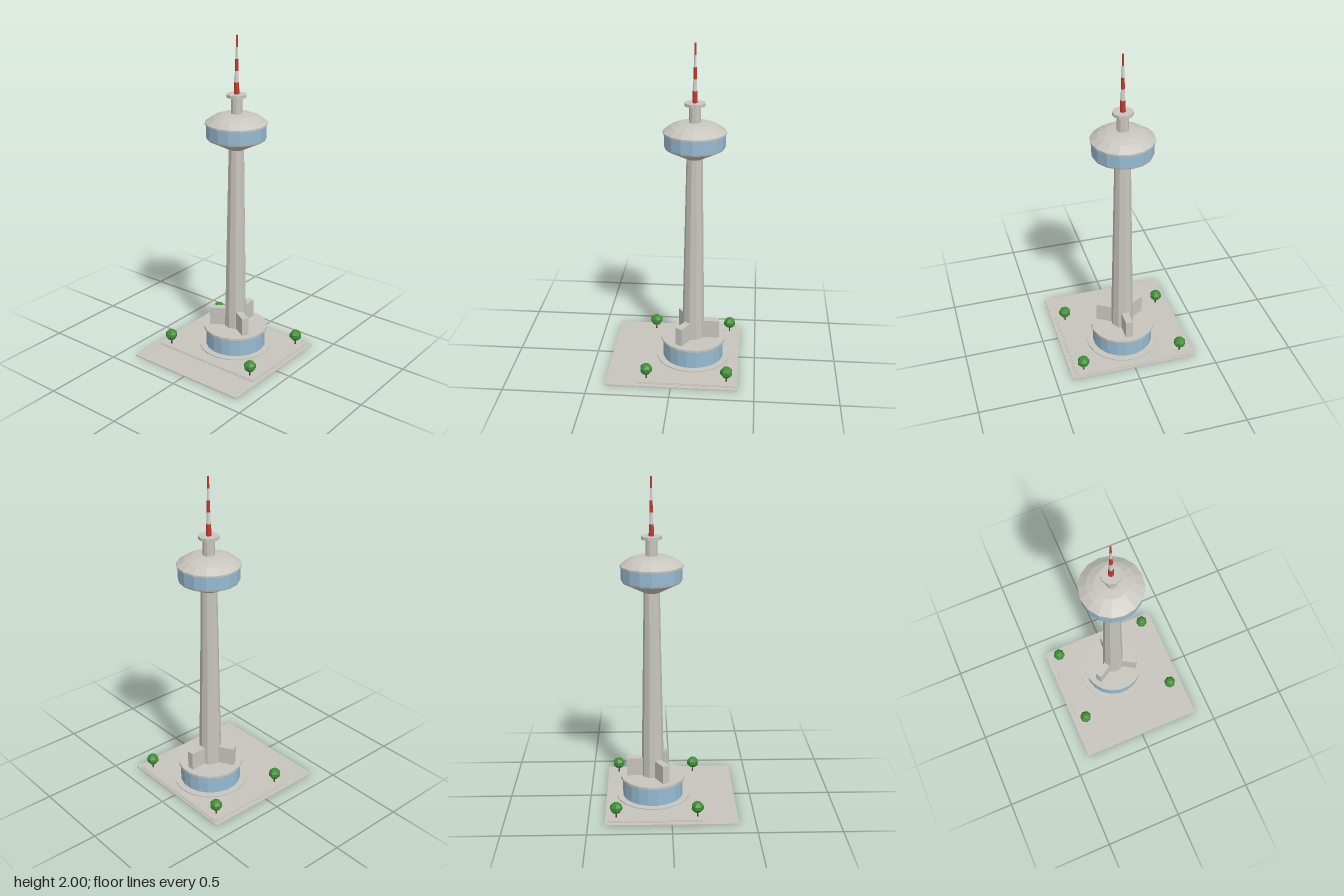
import * as THREE from 'three';

const paint = (name, color) => {
  const m = new THREE.MeshStandardMaterial({ color, flatShading: true });
  m.name = name;
  return m;
};

export function createModel() {
  const paving = paint('paving', 0xc6c4bc);
  const concrete = paint('concrete', 0xc8c5be);
  const glass = paint('glass', 0x97bbd2);
  const red = paint('mast red', 0xc43a2e);
  const pale = paint('mast white', 0xd6d5d2);
  const leaf = paint('foliage', 0x3f8f36);
  const bark = paint('bark', 0x5a4028);

  const model = new THREE.Group();
  model.name = 'observationTower';

  const add = (parent, name, geometry, material, x = 0, y = 0, z = 0) => {
    const mesh = new THREE.Mesh(geometry, material);
    mesh.name = name;
    mesh.position.set(x, y, z);
    parent.add(mesh);
    return mesh;
  };
  const slab = (name, w, d, y0, y1, z) =>
    add(model, name, new THREE.BoxGeometry(w, y1 - y0, d), paving, 0, (y0 + y1) / 2, z);

  // Ground and the stepped plaza
  slab('ground', 0.8, 0.8, 0, 0.006, 0);
  slab('plazaStep', 0.746, 0.592, 0.006, 0.009, -0.094);
  slab('plazaTop', 0.73, 0.574, 0.009, 0.012, -0.094);

  const tower = new THREE.Group();
  tower.name = 'tower';
  tower.position.z = -0.11;
  model.add(tower);

  // Tapered drum from y0 to y1; "turn" offsets the facets
  const drum = (name, material, y0, y1, r0, r1, sides, turn = 0) => {
    const mesh = add(tower, name, new THREE.CylinderGeometry(r1, r0, y1 - y0, sides), material, 0, (y0 + y1) / 2);
    mesh.rotation.y = turn;
    return mesh;
  };

  // Round podium
  const half = Math.PI / 20;
  drum('plinth', concrete, 0.01, 0.018, 0.23, 0.23, 20, half);
  drum('podiumGlass', glass, 0.018, 0.132, 0.189, 0.189, 20, half);
  drum('podiumRoof', concrete, 0.132, 0.146, 0.201, 0.201, 20, half);

  // Three buttress fins, one pointing to the back
  for (let i = 0; i < 3; i++) {
    const arm = new THREE.Group();
    arm.name = 'buttress';
    arm.rotation.y = Math.PI + (i * Math.PI * 2) / 3;
    add(arm, 'buttressFin', new THREE.BoxGeometry(0.044, 0.115, 0.13), concrete, 0, 0.2035, 0.097);
    tower.add(arm);
  }

  // Shaft
  drum('shaft', concrete, 0.146, 1.33, 0.07, 0.048, 10);

  // Observation pod
  const lathe = (name, points) =>
    add(tower, name, new THREE.LatheGeometry(points.map(([r, y]) => new THREE.Vector2(r, y)), 16), concrete);
  lathe('podUnderside', [[0, 1.322], [0.05, 1.322], [0.12, 1.358], [0.176, 1.386], [0.18, 1.397], [0, 1.397]]);
  drum('podGlass', glass, 1.397, 1.476, 0.181, 0.181, 16);
  lathe('podRoof', [[0, 1.476], [0.188, 1.476], [0.188, 1.486], [0.142, 1.518], [0.098, 1.535], [0.05, 1.541], [0, 1.541]]);

  // Neck and crown platform
  drum('neck', concrete, 1.54, 1.638, 0.035, 0.035, 10);
  drum('crown', concrete, 1.638, 1.656, 0.061, 0.061, 10);

  // Banded mast
  const mast = [0.0165, 0.0125, 0.0105, 0.008, 0.006];
  const band = (2 - 1.656) / mast.length;
  mast.forEach((r, i) => {
    const y = 1.656 + i * band;
    drum('mastBand', i % 2 ? pale : red, y, y + band, r, r * 0.9, 8, Math.PI / 8);
  });

  // Four corner trees
  [[-0.315, -0.332], [0.315, -0.332], [-0.315, 0.155], [0.315, 0.155]].forEach(([x, z], i) => {
    const tree = new THREE.Group();
    tree.name = 'tree';
    tree.position.set(x, 0, z);
    tree.rotation.y = i * 0.7;
    add(tree, 'trunk', new THREE.CylinderGeometry(0.004, 0.005, 0.04, 6), bark, 0, 0.03, 0);
    add(tree, 'canopy', new THREE.SphereGeometry(0.039, 7, 5), leaf, 0, 0.075, 0).scale.y = 0.9;
    model.add(tree);
  });

  return model;
}
